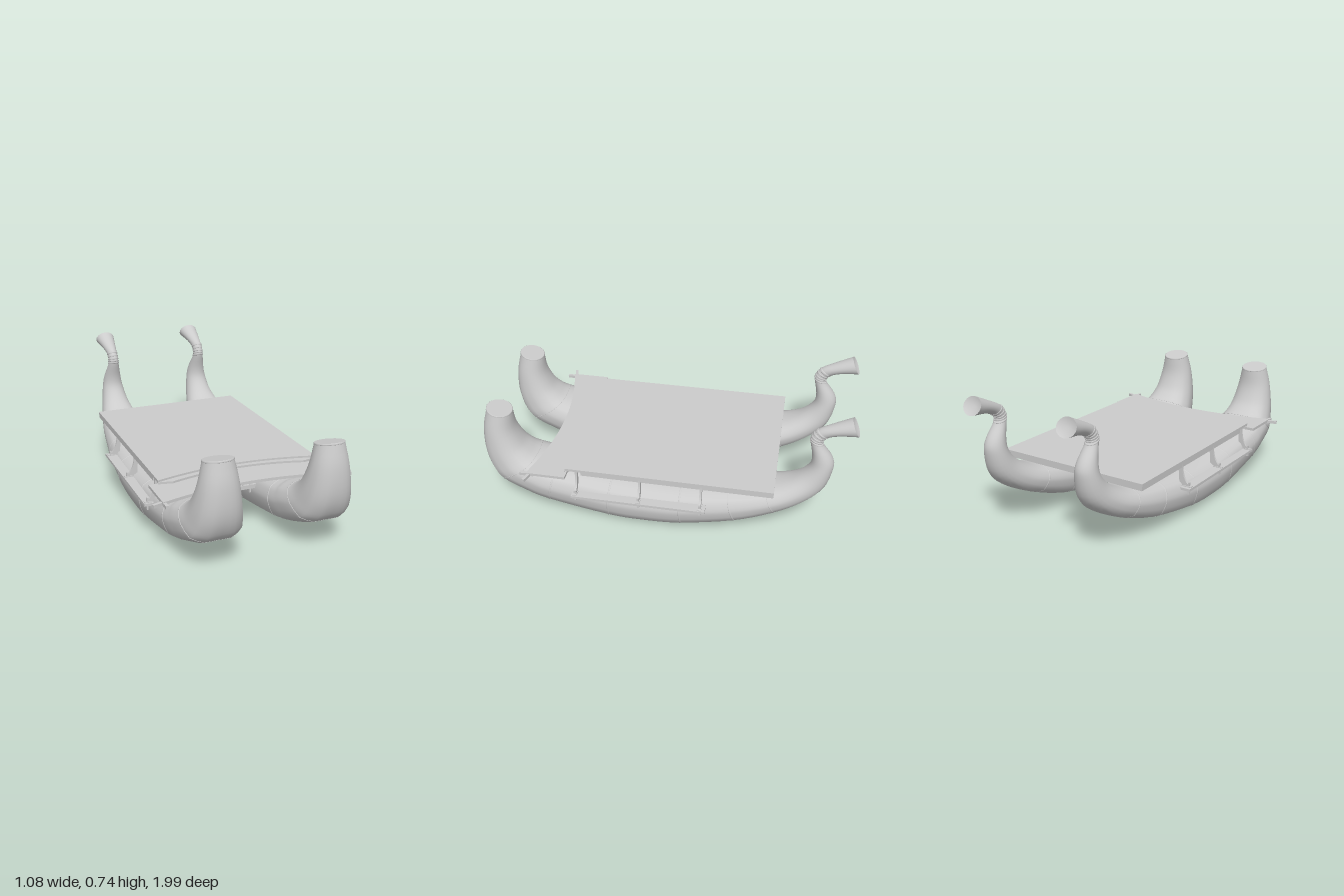
import * as THREE from 'three';

const mat = new THREE.MeshStandardMaterial({ color: 0xcccccc, side: THREE.DoubleSide });
const HULL_X = 0.285;

function add(parent, geo, name, x = 0, y = 0, z = 0) {
  const m = new THREE.Mesh(geo, mat);
  m.name = name;
  m.position.set(x, y, z);
  parent.add(m);
  return m;
}
// box given by its min and max corners
function block(parent, name, x0, x1, y0, y1, z0, z1) {
  return add(parent, new THREE.BoxGeometry(x1 - x0, y1 - y0, z1 - z0), name,
    (x0 + x1) / 2, (y0 + y1) / 2, (z0 + z1) / 2);
}
// straight square bar between two points
function bar(parent, name, a, b, t) {
  const p = new THREE.Vector3(...a), q = new THREE.Vector3(...b);
  const m = add(parent, new THREE.BoxGeometry(t, t, p.distanceTo(q)), name);
  m.position.copy(p).lerp(q, 0.5);
  m.lookAt(q);
  return m;
}
// flat plate drawn in x/z, hanging down from the given top height
function plate(parent, name, shape, top, depth) {
  const g = new THREE.ExtrudeGeometry(shape, { depth, bevelEnabled: false, curveSegments: 16 });
  g.rotateX(Math.PI / 2);
  return add(parent, g, name, 0, top, 0);
}

// hull stations, bow to stern: keel z, keel y, deck z, deck y, half width, roundness
const STATIONS = [
  [0.968, 0.588, 0.834, 0.56, 0.074, 1],
  [0.995, 0.47, 0.825, 0.46, 0.098, 0.8],
  [0.996, 0.34, 0.79, 0.375, 0.118, 0.5],
  [0.967, 0.24, 0.75, 0.33, 0.133, 0.2],
  [0.91, 0.17, 0.71, 0.305, 0.148, 0],
  [0.78, 0.11, 0.65, 0.29, 0.16, 0],
  [0.636, 0.064, 0.59, 0.275, 0.168, 0],
  [0.294, 0.01, 0.28, 0.25, 0.184, 0],
  [0.1, 0.001, 0.1, 0.24, 0.186, 0],
  [-0.107, 0.012, -0.1, 0.24, 0.183, 0],
  [-0.4, 0.064, -0.35, 0.255, 0.16, 0],
  [-0.61, 0.135, -0.55, 0.28, 0.132, 0.2],
  [-0.76, 0.21, -0.65, 0.315, 0.105, 0.5],
  [-0.855, 0.3, -0.72, 0.365, 0.08, 0.8],
  [-0.888, 0.42, -0.765, 0.425, 0.062, 1],
  [-0.877, 0.487, -0.772, 0.49, 0.05, 1],
  [-0.825, 0.56, -0.755, 0.575, 0.033, 1],
  [-0.818, 0.59, -0.757, 0.612, 0.03, 1],
  [-0.842, 0.616, -0.785, 0.655, 0.03, 1],
  [-0.9, 0.638, -0.855, 0.693, 0.04, 1],
  [-0.992, 0.65, -0.948, 0.738, 0.057, 1],
];
const LAST = STATIONS.length - 1, SIDES = 28;
const keel = new THREE.CatmullRomCurve3(STATIONS.map(s => new THREE.Vector3(s[4], s[1], s[0])), false, 'catmullrom');
const deckLine = new THREE.CatmullRomCurve3(STATIONS.map(s => new THREE.Vector3(s[5], s[3], s[2])), false, 'catmullrom');
// half of the hull section, keel to deck: across, up
const HALF = [[0, 0], [0.46, 0], [0.87, 0.15], [1, 0.48], [0.97, 0.65], [0.85, 0.84], [0.5, 0.97], [0, 1]];

// ring of points at station s, optionally swollen about its centre
function ring(s, swell = 1) {
  const k = keel.getPoint(s / LAST), d = deckLine.getPoint(s / LAST);
  const round = THREE.MathUtils.clamp(d.x, 0, 1);
  const pts = [];
  for (let j = 0; j < 14; j++) {
    const h = j <= 7 ? j : 14 - j, side = j <= 7 ? 1 : -1;
    const a = -Math.PI / 2 + h * Math.PI / 7;
    const u = side * THREE.MathUtils.lerp(HALF[h][0], Math.cos(a), round) * swell;
    const v = 0.5 + (THREE.MathUtils.lerp(HALF[h][1], 0.5 + 0.5 * Math.sin(a), round) - 0.5) * swell;
    pts.push(new THREE.Vector3(u * k.x, k.y + (d.y - k.y) * v, k.z + (d.z - k.z) * v));
  }
  const loop = new THREE.CatmullRomCurve3(pts, true, 'catmullrom', 0.3);
  return Array.from({ length: SIDES }, (_, j) => loop.getPoint(j / SIDES));
}
function loft(rings) {
  const idx = [];
  for (let i = 0; i < rings.length - 1; i++) for (let j = 0; j < SIDES; j++) {
    const a = i * SIDES + j, b = i * SIDES + (j + 1) % SIDES;
    idx.push(a, a + SIDES, b, b, a + SIDES, b + SIDES);
  }
  const g = new THREE.BufferGeometry().setFromPoints(rings.flat());
  g.setIndex(idx);
  g.computeVertexNormals();
  return g;
}
// fan closing a ring, its middle sunk towards the given offset
function cap(pts, flip, dz = 0, dy = 0) {
  const c = pts.reduce((s, p) => s.add(p), new THREE.Vector3()).divideScalar(SIDES);
  c.z += dz; c.y += dy;
  const idx = [];
  for (let j = 0; j < SIDES; j++) {
    const n = (j + 1) % SIDES;
    idx.push(SIDES, flip ? n : j, flip ? j : n);
  }
  const g = new THREE.BufferGeometry().setFromPoints([...pts, c]);
  g.setIndex(idx);
  g.computeVertexNormals();
  return g;
}

function makeHull() {
  const hull = new THREE.Group();
  hull.name = 'hull';
  const n = LAST * 4;
  add(hull, loft(Array.from({ length: n + 1 }, (_, i) => ring(i * LAST / n))), 'hullShell');
  add(hull, cap(ring(0), false), 'bowTop');
  add(hull, cap(ring(LAST), true, 0.02, -0.008), 'sternEnd');
  const band = (s, w, swell, name) =>
    add(hull, loft([ring(s, 1), ring(s + w * 0.2, swell), ring(s + w * 0.8, swell), ring(s + w, 1)]), name);
  band(0, 0.08, 1.03, 'bowLip');
  [4, 6, 7, 9, 10, 11].forEach(s => band(s, 0.04, 1.012, 'hullSeam'));
  for (let i = 0; i < 5; i++) band(16.1 + i * 0.42, 0.25, 1.09, 'neckBinding');
  return hull;
}

export function createModel() {
  const model = new THREE.Group();
  model.name = 'twinHullBoat';

  for (const sx of [-1, 1]) {
    const hull = makeHull();
    hull.position.x = sx * HULL_X;
    model.add(hull);
  }

  // main deck with a hollowed front edge and a hanging rim
  const deck = new THREE.Shape();
  deck.moveTo(-0.44, -0.6);
  deck.lineTo(0.44, -0.6);
  deck.lineTo(0.44, 0.515);
  deck.quadraticCurveTo(0, 0.385, -0.44, 0.515);
  plate(model, 'deck', deck, 0.332, 0.014);
  block(model, 'deckRearRim', -0.435, 0.435, 0.295, 0.318, -0.598, -0.575);
  block(model, 'deckFrontRim', -0.435, 0.435, 0.295, 0.318, 0.41, 0.43);
  for (const z of [-0.22, 0.11]) block(model, 'deckJoist', -0.43, 0.43, 0.295, 0.318, z - 0.01, z + 0.01);

  // curved front apron and the trim where it meets the deck
  const apron = new THREE.Shape();
  apron.moveTo(-0.485, 0.505);
  apron.lineTo(-0.43, 0.505);
  apron.quadraticCurveTo(0, 0.37, 0.43, 0.505);
  apron.lineTo(0.485, 0.505);
  apron.lineTo(0.485, 0.72);
  apron.quadraticCurveTo(0, 0.57, -0.485, 0.72);
  plate(model, 'frontApron', apron, 0.311, 0.015);
  const trim = new THREE.Shape();
  trim.moveTo(-0.44, 0.515);
  trim.quadraticCurveTo(0, 0.38, 0.44, 0.515);
  trim.lineTo(0.365, 0.53);
  trim.quadraticCurveTo(0, 0.42, -0.365, 0.53);
  plate(model, 'apronTrim', trim, 0.322, 0.012);

  // curved bracket between deck edge and side walkway
  const br = new THREE.Shape();
  br.moveTo(0.415, 0.318);
  br.lineTo(0.437, 0.318);
  br.quadraticCurveTo(0.437, 0.235, 0.485, 0.2);
  br.lineTo(0.425, 0.195);
  const bracketGeo = new THREE.ExtrudeGeometry(br, { depth: 0.012, bevelEnabled: false });
  const beamZ = [-0.22, 0.11, 0.455];

  for (const sx of [-1, 1]) {
    const side = new THREE.Group();
    side.name = sx > 0 ? 'leftSide' : 'rightSide';
    model.add(side);
    const X = (a, b) => (sx > 0 ? [a, b] : [-b, -a]);
    block(side, 'deckSideRim', ...X(0.42, 0.437), 0.295, 0.318, -0.598, 0.43);
    block(side, 'walkway', ...X(0.435, 0.5), 0.182, 0.196, -0.25, 0.475);
    bar(side, 'apronPole', [sx * 0.475, 0.299, 0.7], [sx * 0.535, 0.299, 0.72], 0.016);
    block(side, 'apronPeg', ...X(0.468, 0.484), 0.291, 0.307, 0.68, 0.755);
    for (const z of beamZ) {
      const b = add(side, bracketGeo, 'walkwayBracket', 0, 0, z - 0.006);
      if (sx < 0) { b.rotation.y = Math.PI; b.position.z = z + 0.006; }
      block(side, 'outerPeg', ...X(0.474, 0.483), 0.155, 0.22, z - 0.006, z + 0.006);
      block(side, 'innerPeg', ...X(0.084, 0.094), 0.155, 0.22, z - 0.006, z + 0.006);
      // truss between crossbeam and deck
      block(side, 'trussPost', ...X(0.086, 0.096), 0.195, 0.268, z - 0.006, z + 0.006);
      block(side, 'trussPost', ...X(0.045, 0.054), 0.195, 0.268, z - 0.006, z + 0.006);
      block(side, 'trussRail', ...X(0.012, 0.125), 0.26, 0.272, z - 0.008, z + 0.008);
      bar(side, 'trussBrace', [sx * 0.085, 0.21, z], [sx * 0.025, 0.262, z], 0.01);
      block(side, 'trussHanger', ...X(0.065, 0.078), 0.27, 0.298, z - 0.006, z + 0.006);
    }
  }
  for (const z of beamZ) block(model, 'crossbeam', -0.495, 0.495, 0.178, 0.2, z - 0.011, z + 0.011);
  return model;
}
